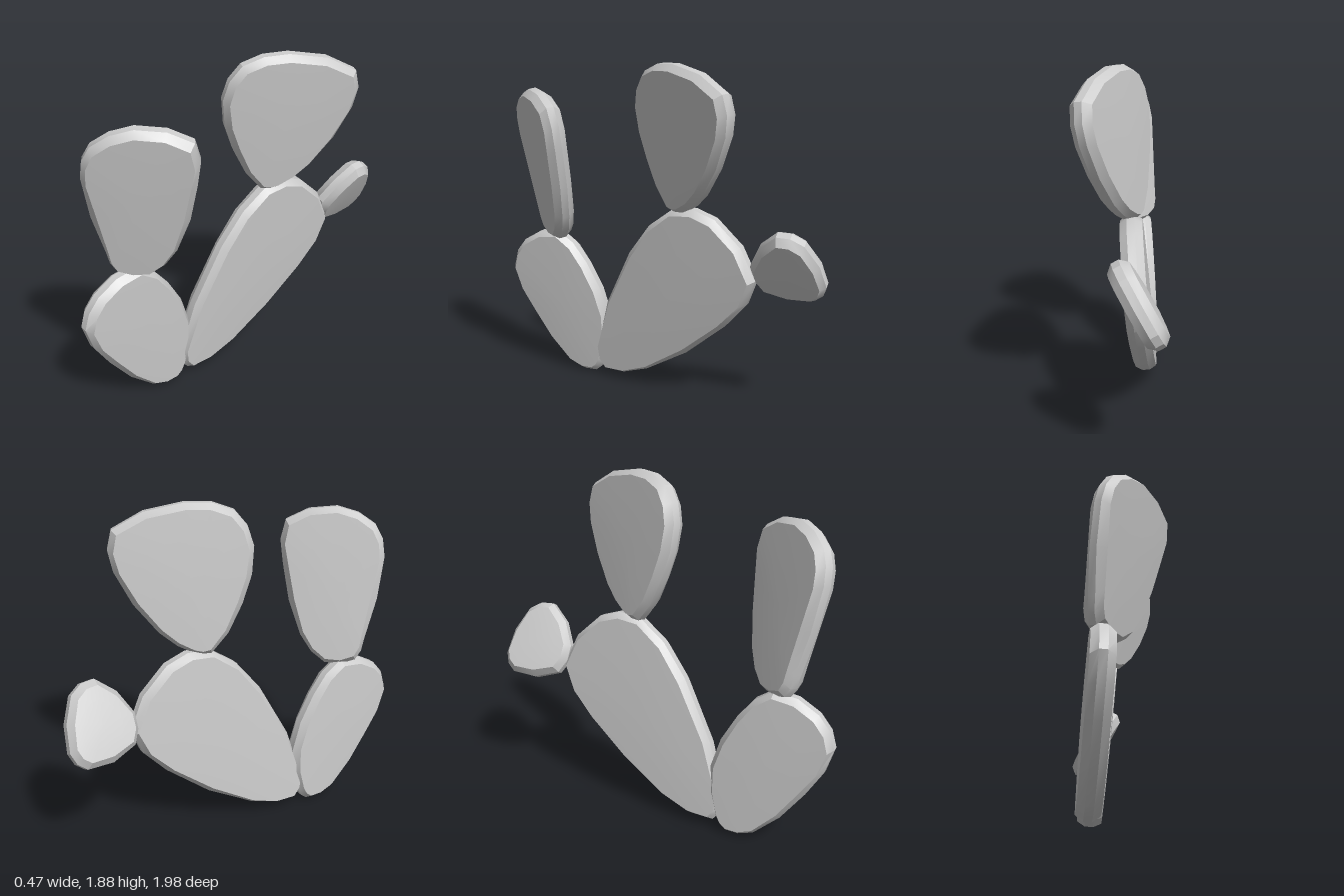
import * as THREE from 'three';
import { toCreasedNormals } from 'three/addons/utils/BufferGeometryUtils.js';

const HALF_THICKNESS = 0.059;
const material = new THREE.MeshStandardMaterial({ color: 0xcccccc });

// Half of a pad's cross-section, from the face centre to the rim:
// height, scale toward the middle, inset from the rim
const HALF_RINGS = [[1.08, 0, 0], [1.06, 0.55, 0], [1, 1, 0.03], [0.35, 1, 0]];
const RINGS = [...HALF_RINGS, ...HALF_RINGS.map(([h, s, inset]) => [-h, s, inset]).reverse()];

// A flat leaning pad. The outline is a closed curve through a few [z, y] points;
// x is the position of its middle, perZ and perY say how x changes along z and y.
function makePad(name, x, perZ, perY, outline) {
  const controls = outline.map(([z, y]) => new THREE.Vector3(0, y, z));
  const curve = new THREE.CatmullRomCurve3(controls, true);
  const n = outline.length * 2;
  const rim = Array.from({ length: n }, (_, i) => curve.getPoint(i / n));
  const middle = new THREE.Vector3();
  controls.forEach((p) => middle.addScaledVector(p, 1 / controls.length));
  const normal = new THREE.Vector3(1, -perY, -perZ).normalize();

  const positions = [];
  for (const [height, scale, inset] of RINGS) {
    for (const p of rim) {
      const offset = p.clone().sub(middle);
      offset.multiplyScalar(scale * (1 - inset / offset.length()));
      offset.x = x + perZ * offset.z + perY * offset.y;
      offset.add(middle).addScaledVector(normal, height * HALF_THICKNESS);
      positions.push(...offset.toArray());
    }
  }

  // Join the rings; the first and last rings are single points
  const index = [];
  for (let r = 0; r < RINGS.length - 1; r++) {
    for (let i = 0; i < n; i++) {
      const j = (i + 1) % n;
      const a = r * n + i, b = a + n, d = r * n + j, c = d + n;
      if (r < RINGS.length - 2) index.push(a, b, c);
      if (r > 0) index.push(a, c, d);
    }
  }
  const geometry = new THREE.BufferGeometry();
  geometry.setAttribute('position', new THREE.Float32BufferAttribute(positions, 3));
  geometry.setIndex(index);
  const mesh = new THREE.Mesh(toCreasedNormals(geometry, 0.5), material);
  mesh.name = name;
  return mesh;
}

export function createModel() {
  const cactus = new THREE.Group();
  cactus.name = 'cactus';

  // Two pads rising from the ground
  cactus.add(makePad('lowerFrontPad', -0.15, 0.02, 0.045, [
    [0.99, 0.62], [0.86, 0.34], [0.59, 0.04], [0.43, 0.015], [0.37, 0.09],
    [0.33, 0.38], [0.47, 0.7], [0.66, 0.875], [0.9, 0.79]]));
  cactus.add(makePad('lowerBackPad', -0.1, -0.03, 0.09, [
    [0.4, 0.18], [0.35, 0.05], [0.06, 0.11], [-0.45, 0.48],
    [-0.63, 0.77], [-0.4, 1.08], [-0.15, 1.11], [0.14, 0.82]]));

  // Pads growing from the lower ones
  cactus.add(makePad('upperFrontPad', -0.03, -0.75, 0.22, [
    [0.9, 1.46], [0.79, 1], [0.74, 0.87], [0.6, 0.845], [0.5, 1],
    [0.45, 1.4], [0.48, 1.64], [0.71, 1.72], [0.87, 1.63]]));
  cactus.add(makePad('upperBackPad', 0.016, -0.46, 0.13, [
    [0.09, 1.66], [0.02, 1.36], [-0.14, 1.1], [-0.22, 1.1], [-0.38, 1.22],
    [-0.56, 1.55], [-0.55, 1.76], [-0.21, 1.885], [0.01, 1.84]]));
  cactus.add(makePad('smallRearPad', -0.08, 0.1, 0.55, [
    [-0.6, 0.86], [-0.64, 0.72], [-0.92, 0.69], [-0.99, 0.78], [-0.91, 1.02], [-0.77, 1.06]]));

  return cactus;
}
